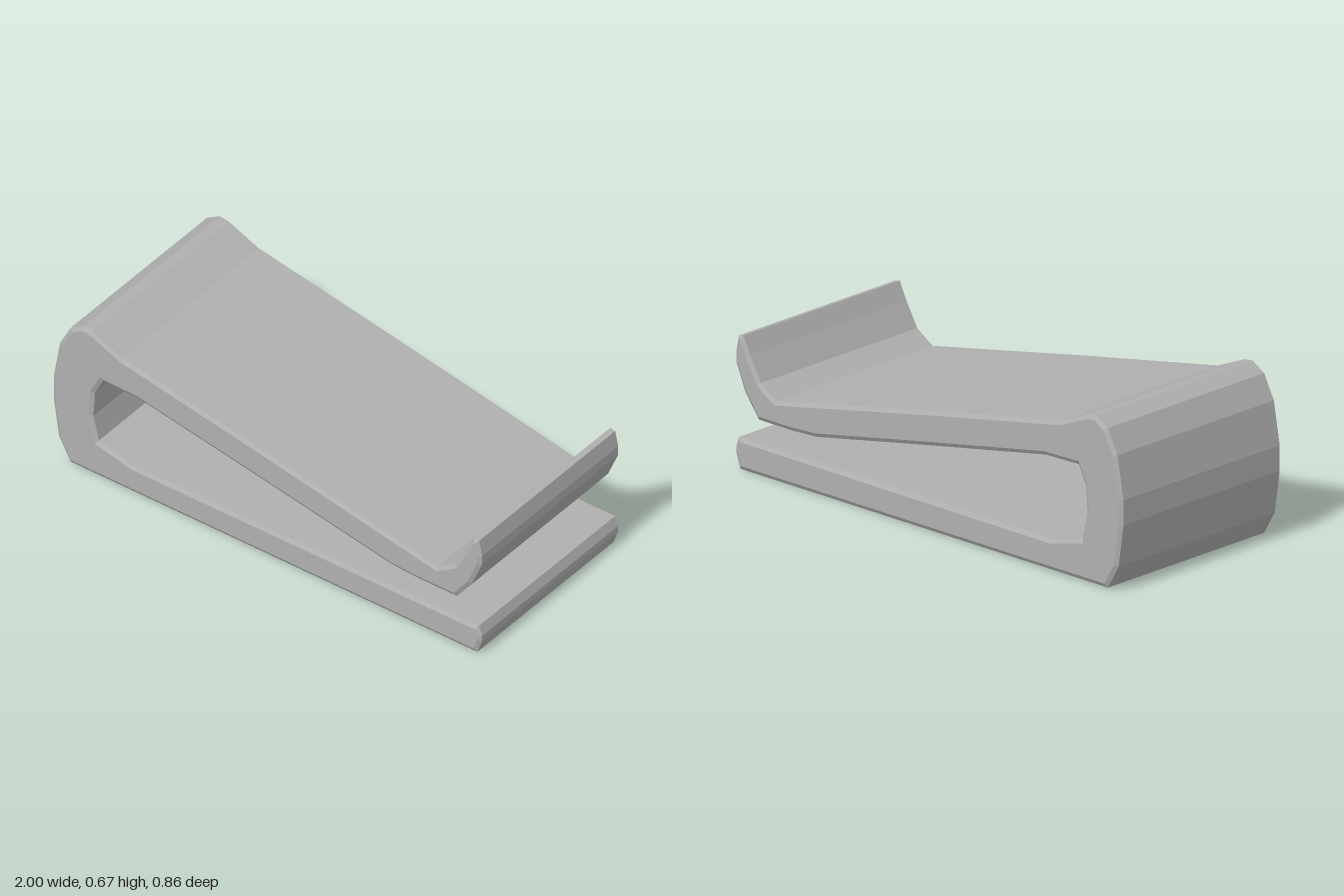
import * as THREE from 'three';

// Side outline of the folded clip, counter-clockwise
const outline = [
  // base plate and its front edge
  [-0.92, 0.005], [0.975, 0], [0.997, 0.06], [0.997, 0.085], [0.982, 0.125],
  // inside of the fold
  [-0.63, 0.125], [-0.79, 0.165], [-0.815, 0.27], [-0.808, 0.38], [-0.77, 0.455], [-0.6, 0.45],
  // underside of the sloping arm
  [0, 0.337], [0.58, 0.225], [0.7, 0.218], [0.88, 0.218],
  // upturned lip
  [0.95, 0.31], [0.997, 0.42], [0.997, 0.46], [0.983, 0.525], [0.96, 0.53],
  [0.925, 0.46], [0.87, 0.365], [0.79, 0.315],
  // top of the arm and outer bend
  [0, 0.474], [-0.68, 0.605], [-0.82, 0.665], [-0.86, 0.67], [-0.92, 0.635],
  [-0.97, 0.54], [-1, 0.37], [-1, 0.27], [-0.975, 0.1],
];

export function createModel() {
  const group = new THREE.Group();
  group.name = 'clip';

  const grey = new THREE.MeshStandardMaterial({ color: 0xb0b0b0, flatShading: true });
  grey.name = 'grey';

  // One bent strip with slightly chamfered side edges
  const width = 0.856, chamfer = 0.01;
  const shape = new THREE.Shape(outline.map(([x, y]) => new THREE.Vector2(x, y)));
  const geometry = new THREE.ExtrudeGeometry(shape, {
    depth: width - 2 * chamfer,
    bevelEnabled: true,
    bevelSegments: 1,
    bevelThickness: chamfer,
    bevelSize: 0.016,
    bevelOffset: -0.016,
  });
  geometry.translate(0, 0, chamfer - width / 2);

  const strip = new THREE.Mesh(geometry, grey);
  strip.name = 'bentStrip';
  group.add(strip);
  return group;
}
